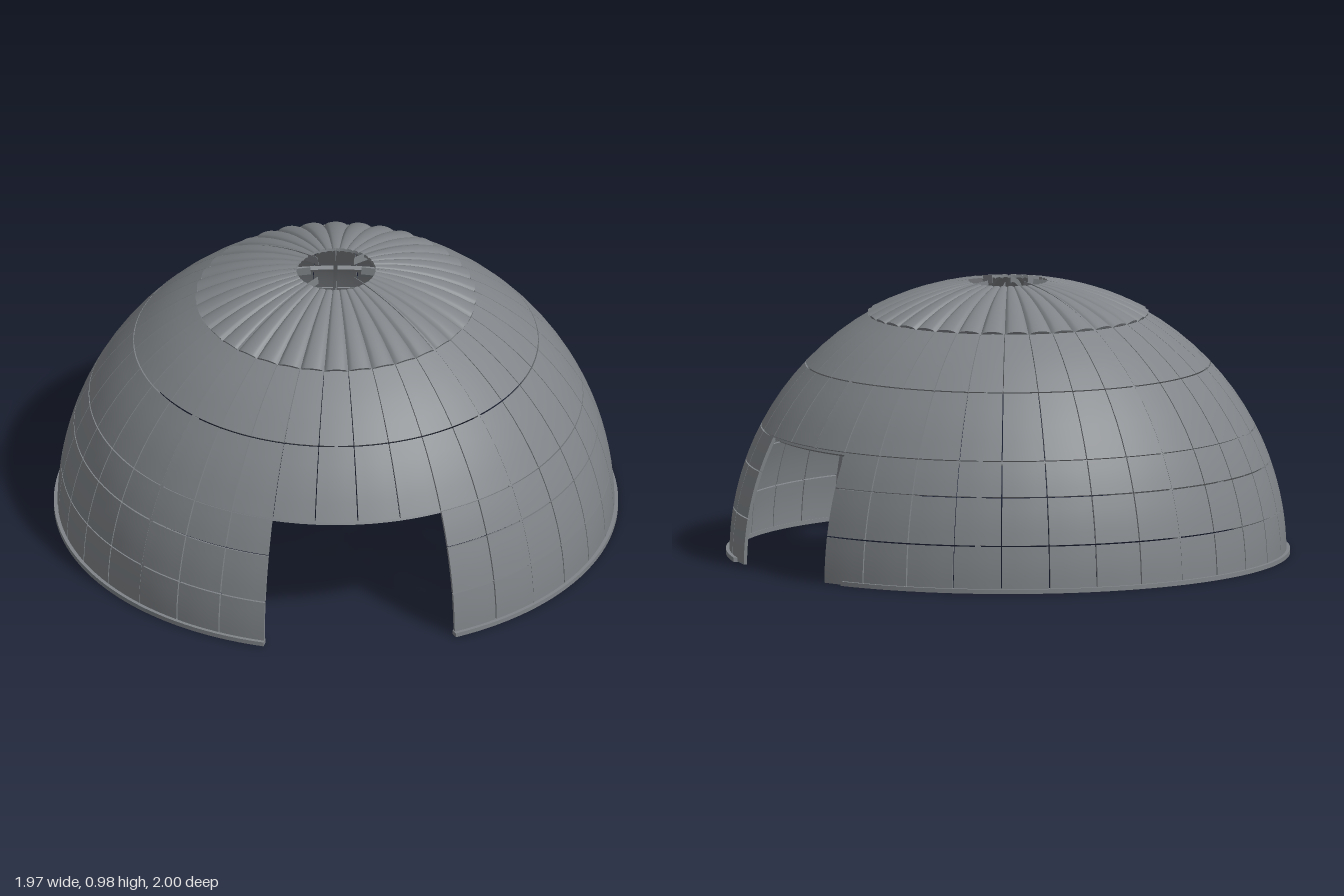
import * as THREE from 'three';
import { mergeGeometries } from 'three/addons/utils/BufferGeometryUtils.js';

const RAD = Math.PI / 180;
const GAP = 0.13; // half the seam between panels, in degrees

// Curved block on the sphere: angle a0..a1 (from +x towards +z), latitude l0..l1, radius r0..r1.
function block(a0, a1, l0, l1, r0, r1, nx, ny, bulge = 0) {
  const geo = new THREE.BoxGeometry(1, 1, 1, nx, ny, 1);
  const p = geo.attributes.position;
  for (let i = 0; i < p.count; i++) {
    const u = p.getX(i) + 0.5, v = p.getY(i) + 0.5, w = p.getZ(i) + 0.5;
    const a = (a1 + (a0 - a1) * u) * RAD;
    const l = (l0 + (l1 - l0) * v) * RAD;
    const round = Math.sqrt(Math.max(0, 1 - (2 * u - 1) ** 2));
    const r = r0 + (r1 - r0) * w + bulge * round * Math.cos(l);
    p.setXYZ(i, r * Math.cos(l) * Math.cos(a), r * Math.sin(l), r * Math.cos(l) * Math.sin(a));
  }
  geo.computeVertexNormals();
  return geo;
}

export function createModel() {
  const group = new THREE.Group();
  const grey = new THREE.MeshStandardMaterial({ color: 0x808488 });
  const add = (name, parts) => {
    const mesh = new THREE.Mesh(parts.length > 1 ? mergeGeometries(parts) : parts[0], grey);
    mesh.name = name;
    mesh.position.x = 0.008;
    group.add(mesh);
  };

  // Two doorways cut through the lower tiers
  const inDoor = a => a >= 350 || a < 20 || (a >= 110 && a < 150);

  // Tiers of wall panels, one panel every ten degrees
  const tiers = [0, 9.7, 19.8, 27.5, 43.4, 60];
  for (let t = 0; t < 5; t++) {
    const panels = [];
    for (let a = 0; a < 360; a += 10) {
      if (t < 3 && inDoor(a)) continue;
      panels.push(block(a + GAP, a + 10 - GAP, tiers[t] + GAP, tiers[t + 1] - GAP, 0.973, 0.985, 4, 4));
    }
    add('wallTier' + (t + 1), panels);
  }

  // Fluted cap with an open eye at the top
  const flutes = [];
  for (let a = 0; a < 360; a += 10) flutes.push(block(a, a + 10, 60, 81.8, 0.968, 0.978, 10, 6, 0.034));
  add('flutedCap', flutes);

  // Base lip, broken at the doorways
  add('baseLip', [block(25, 110, 0, 0.9, 0.97, 0.998, 34, 1), block(150, 345, 0, 0.9, 0.97, 0.998, 78, 1)]);

  // Inner ribs; those over a doorway start at its lintel
  const ribs = [];
  for (let a = 0; a < 360; a += 45) {
    ribs.push(block(a - 0.5, a + 0.5, inDoor(a) ? 27.5 : 0, 84.7, 0.955, 0.984, 1, 32));
  }
  add('innerRibs', ribs);

  // Inner hoops at the lintel and under the cap
  add('innerHoops', [27.5, 60].map(l => block(0, 360, l - 0.4, l + 0.4, 0.957, 0.975, 108, 1)));

  return group;
}
